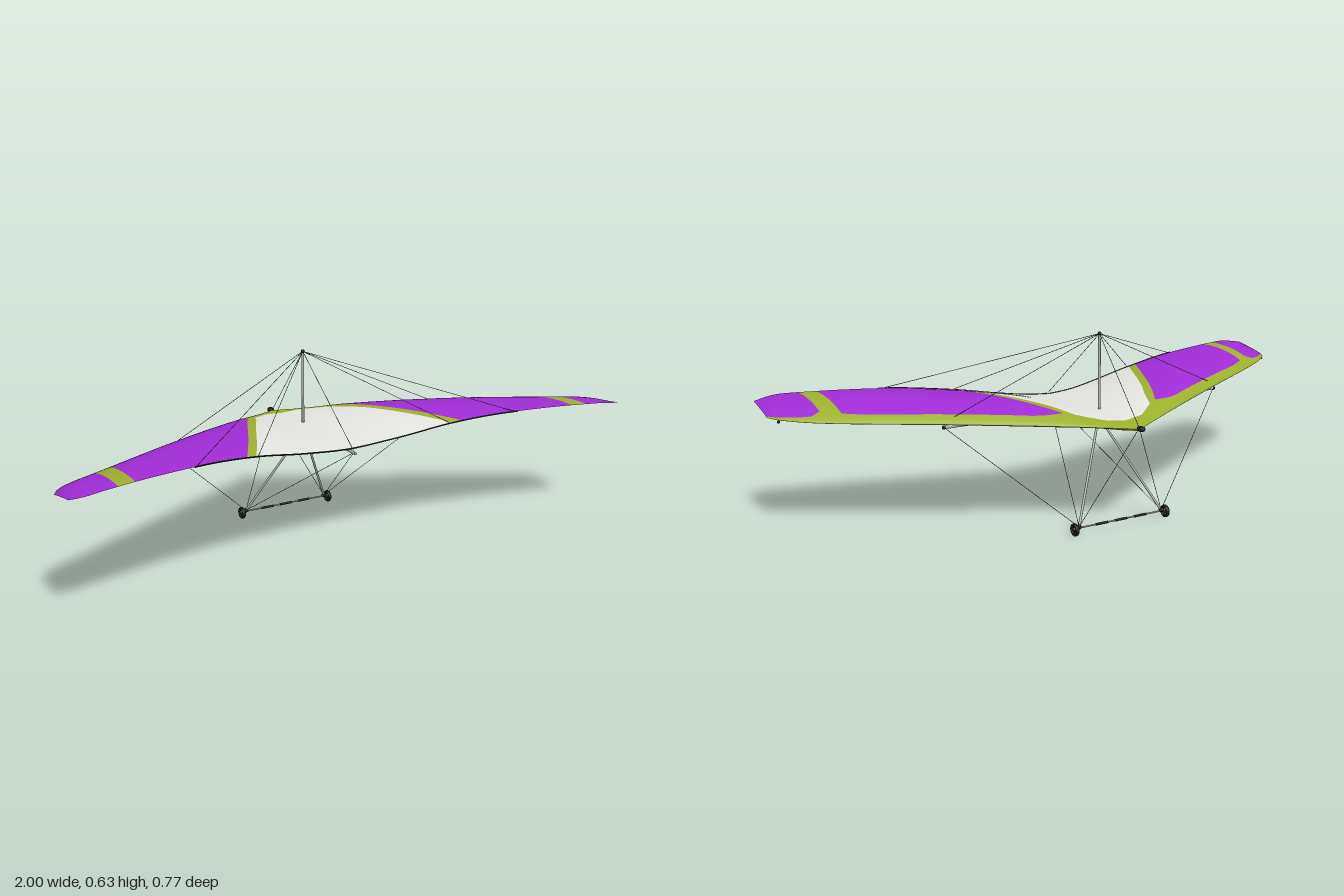
import * as THREE from 'three';

const mat = (name, color) => {
  const m = new THREE.MeshStandardMaterial({ color });
  m.name = name;
  return m;
};

// Smooth interpolation through a short table of [x, value] pairs
function curve(p) {
  const slope = i => {
    const a = p[Math.max(i - 1, 0)], b = p[Math.min(i + 1, p.length - 1)];
    return (b[1] - a[1]) / (b[0] - a[0]);
  };
  return x => {
    let i = 0;
    while (i < p.length - 2 && x > p[i + 1][0]) i++;
    const h = p[i + 1][0] - p[i][0], u = (x - p[i][0]) / h, v = 1 - u;
    return p[i][1] * v * v * (1 + 2 * u) + p[i + 1][1] * u * u * (3 - 2 * u)
      + h * u * v * (slope(i) * v - slope(i + 1) * u);
  };
}
function linear(p) {
  return x => {
    let i = 0;
    while (i < p.length - 2 && x > p[i + 1][0]) i++;
    return THREE.MathUtils.mapLinear(x, p[i][0], p[i + 1][0], p[i][1], p[i + 1][1]);
  };
}

// Wing plan and section, all against distance from the centre line
const frontZ = curve([[0, -0.363], [0.4, -0.141], [0.75, 0.053], [0.86, 0.114], [0.93, 0.156], [0.98, 0.198], [1, 0.235]]);
const rearZ = curve([[0, 0.193], [0.1, 0.2], [0.2, 0.217], [0.4, 0.253], [0.6, 0.302], [0.81, 0.353], [0.9, 0.376], [0.95, 0.382], [1, 0.368]]);
const frontY = curve([[0, 0.353], [0.2, 0.364], [0.5, 0.375], [0.85, 0.384], [1, 0.395]]);
const rearY = curve([[0, 0.36], [0.08, 0.365], [0.2, 0.381], [0.36, 0.407], [0.57, 0.428], [0.9, 0.434], [1, 0.422]]);
const bulge = curve([[0, 0.014], [0.1, 0.024], [0.22, 0.037], [0.55, 0.033], [0.85, 0.021], [0.96, 0.013], [1, 0.002]]);
const bandWidth = linear([[0, 0.08], [0.07, 0.053], [0.14, 0.073], [0.18, 0.073], [0.22, 0.05], [0.27, 0.038], [0.73, 0.031],
  [0.8, 0.038], [0.855, 0.05], [0.885, 0.022], [0.93, 0.014], [1, 0.01]]);
// Share of the chord taken by the leading-edge band
const bandShare = x => bandWidth(x) / (rearZ(x) - frontZ(x));

// The leading-edge band is a thick pocket; behind it the underside follows the top closely
function wingPoint(x, t, lower) {
  const ax = Math.abs(x);
  const hump = 2.88 * Math.pow(t, 0.6) * (1 - t) * bulge(ax);
  const base = THREE.MathUtils.lerp(frontY(ax), rearY(ax), t);
  const pocket = 1 - THREE.MathUtils.smoothstep(t / bandShare(ax), 0.35, 1);
  const noseDrop = lower ? 0.008 * Math.exp(-((ax / 0.09) ** 2)) * Math.min(1, t * 25) * pocket : 0;
  const share = lower ? 0.87 - 1.32 * pocket : 1;
  return [x, base + hump * share - noseDrop, THREE.MathUtils.lerp(frontZ(ax), rearZ(ax), t)];
}

// One closed skin; its columns and rows follow the colour panels
function wingGeometry() {
  const counts = [12, 3, 24, 2, 16], columns = [];
  counts.forEach((n, seg) => {
    for (let i = 0; i < n; i++) columns.push({ seg, f: seg === 4 ? Math.sin(i / n * Math.PI / 2) : i / n });
  });
  columns.push({ seg: 4, f: 1 });
  const N = columns.length - 1, bandRows = 12, K = 34, rows = 2 * K + 1;
  const pos = [], faces = [[], [], []];
  for (let j = -N; j <= N; j++) {
    const { seg, f } = columns[Math.abs(j)];
    for (let k = -K; k <= K; k++) {
      const r = Math.abs(k), w = Math.max(0, (r - bandRows) / (K - bandRows));
      const edges = [0, 0.145 + 0.225 * w, 0.18 + 0.225 * w, 0.8, 0.855, 1];
      const x = THREE.MathUtils.lerp(edges[seg], edges[seg + 1], f), tb = bandShare(x);
      const t = r <= bandRows ? tb * (r / bandRows) ** 2 : tb + (1 - tb) * w;
      pos.push(...wingPoint(Math.sign(j) * x, t, k < 0));
    }
  }
  const panelColour = [0, 1, 2, 1, 2];
  for (let j = 0; j < 2 * N; j++) for (let k = 0; k < 2 * K; k++) {
    const inBand = k >= K - bandRows && k < K + bandRows;
    const { seg } = columns[j >= N ? j - N : N - 1 - j];
    const a = j * rows + k, b = a + 1, c = a + rows, d = c + 1;
    faces[inBand ? 1 : panelColour[seg]].push(a, b, c, b, d, c);
  }
  const g = new THREE.BufferGeometry();
  g.setAttribute('position', new THREE.Float32BufferAttribute(pos, 3));
  g.setIndex(faces.flat());
  let start = 0;
  faces.forEach((list, i) => { g.addGroup(start, list.length, i); start += list.length; });
  g.computeVertexNormals();
  return g;
}

export function createModel() {
  const model = new THREE.Group();
  model.name = 'hangGlider';
  const sail = mat('pale sail', 0xe4e4e0);
  const green = mat('olive green', 0x9cb02c);
  const purple = mat('purple', 0xa02cd6);
  const metal = mat('aluminium', 0xb2b2b6);
  const black = mat('black', 0x18181a);
  const wireMat = mat('wire grey', 0x38383c);

  const add = (name, geo, material, p = [0, 0, 0], parent = model) => {
    const m = new THREE.Mesh(geo, material);
    m.name = name;
    m.position.set(...p);
    parent.add(m);
    return m;
  };
  // Round bar between two points
  const bar = (name, a, b, r, material, sides = 12, parent = model) => {
    const A = new THREE.Vector3(...a), B = new THREE.Vector3(...b), d = B.clone().sub(A);
    const m = add(name, new THREE.CylinderGeometry(r, r, d.length(), sides), material, [0, 0, 0], parent);
    m.position.copy(A).add(B).multiplyScalar(0.5);
    m.quaternion.setFromUnitVectors(new THREE.Vector3(0, 1, 0), d.normalize());
    return m;
  };

  add('wing', wingGeometry(), [sail, green, purple]);

  // Dark hem along the trailing edge
  const hem = [];
  for (let i = -20; i <= 20; i++) hem.push(new THREE.Vector3(...wingPoint(i / 20 * 0.6, 1, false)));
  add('trailingHem', new THREE.TubeGeometry(new THREE.CatmullRomCurve3(hem), 60, 0.0025, 8), black);

  // Keel, mast and their caps
  const mastTop = [0, 0.622, -0.125], nose = [0, 0.356, -0.358];
  bar('keel', [0, 0.352, 0.224], [0, 0.352, -0.36], 0.005, metal);
  bar('mast', [0, 0.352, -0.125], mastTop, 0.0045, metal);
  add('mastCap', new THREE.SphereGeometry(0.0065, 14, 10), black, mastTop);
  add('noseCap', new THREE.SphereGeometry(0.01, 18, 12), black, [0, 0.355, -0.368]).scale.set(1.2, 0.95, 1.6);

  // Straight crossbar between the leading edges
  bar('crossbar', [-0.53, 0.364, -0.056], [0.53, 0.364, -0.056], 0.0055, metal);

  // Hang loop under the keel
  add('hangBracket', new THREE.BoxGeometry(0.014, 0.014, 0.014), black, [0, 0.348, -0.1]);
  const loop = add('hangLoop', new THREE.TorusGeometry(0.0065, 0.0013, 8, 20), black, [0, 0.332, -0.102]);
  loop.rotation.y = Math.PI / 2;
  loop.scale.y = 1.6;

  // Base bar with hand grips
  const barY = 0.025, barZ = -0.26;
  bar('baseBar', [-0.185, barY, barZ], [0.185, barY, barZ], 0.0028, metal);
  for (const x of [-0.075, 0, 0.075]) bar('grip', [x - 0.024, barY, barZ], [x + 0.024, barY, barZ], 0.0042, black);

  for (const s of [1, -1]) {
    const side = s > 0 ? 'left' : 'right';
    const corner = [s * 0.162, 0.028, barZ], joint = [s * 0.532, 0.364, -0.056];
    bar(side + 'Downtube', [s * 0.004, 0.336, -0.125], corner, 0.0042, metal);
    bar(side + 'DowntubeTop', [0, 0.345, -0.121], [s * 0.006, 0.331, -0.127], 0.0035, black);
    add(side + 'CornerBracket', new THREE.SphereGeometry(0.0085, 12, 8), black, corner);
    add(side + 'CrossbarJoint', new THREE.SphereGeometry(0.0068, 12, 8), black, joint);
    add(side + 'TipCap', new THREE.SphereGeometry(0.005, 12, 8), black, [s * 0.975, 0.386, 0.2]);

    // Wheel: tyre, hub and spokes
    const wheel = new THREE.Group();
    wheel.name = side + 'Wheel';
    wheel.position.set(s * 0.178, 0.0215, barZ);
    wheel.rotation.y = Math.PI / 2;
    model.add(wheel);
    add('tyre', new THREE.TorusGeometry(0.017, 0.0045, 10, 32), black, [0, 0, 0], wheel).scale.z = 1.5;
    add('hub', new THREE.CylinderGeometry(0.005, 0.005, 0.014, 14), wireMat, [0, 0, 0], wheel).rotation.x = Math.PI / 2;
    for (let i = 0; i < 6; i++) {
      const a = i / 6 * Math.PI * 2;
      bar('spoke', [0, 0, 0], [Math.cos(a) * 0.016, Math.sin(a) * 0.016, 0], 0.0016, wireMat, 8, wheel);
    }

    // Rigging above and below the wing
    const wire = (name, a, b) => bar(side + name, a, b, 0.0009, wireMat, 6);
    wire('UpperSideWire', mastTop, [s * 0.52, 0.386, -0.06]);
    wire('OuterRearWire', mastTop, wingPoint(s * 0.59, 0.99, false));
    wire('InnerRearWire', mastTop, wingPoint(s * 0.36, 0.99, false));
    wire('LowerNoseWire', corner, nose);
    wire('LowerSideWire', corner, joint);
    wire('LowerRearWire', corner, [0, 0.352, 0.212]);
  }
  bar('upperNoseWire', mastTop, nose, 0.0009, wireMat, 6);
  bar('upperKeelWire', mastTop, [0, 0.36, 0.21], 0.0009, wireMat, 6);
  return model;
}
